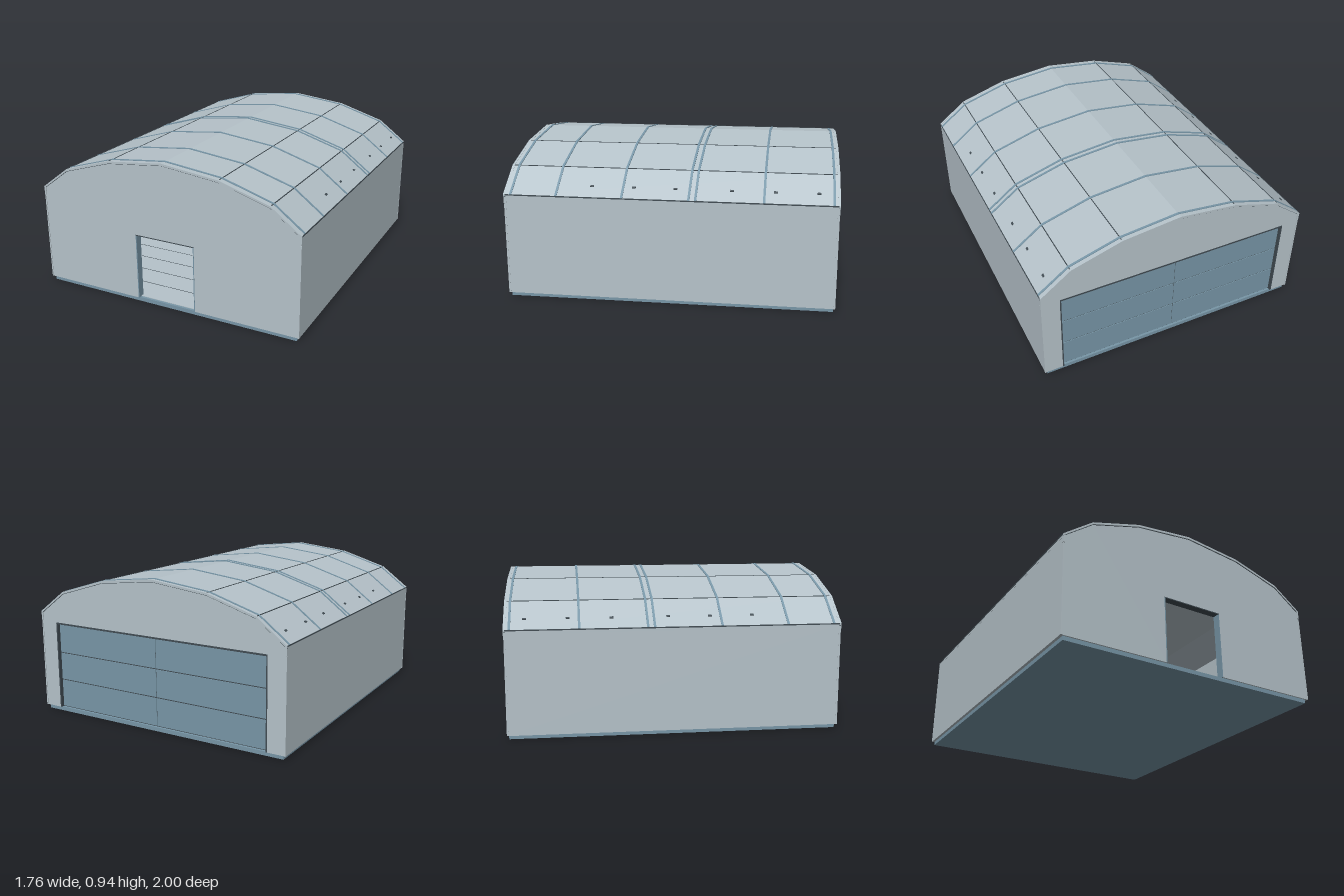
import * as THREE from 'three';

const mat = (name, color) => {
  const m = new THREE.MeshStandardMaterial({ color });
  m.name = name;
  return m;
};

export function createModel() {
  const wall = mat('pale grey cladding', 0xb6c3ca);
  const blue = mat('steel blue', 0x7896a7);
  const dark = mat('dark seam', 0x414c53);

  const hangar = new THREE.Group();
  hangar.name = 'hangar';

  const add = (name, geo, material, parent = hangar) => {
    const m = new THREE.Mesh(geo, material);
    m.name = name;
    parent.add(m);
    return m;
  };
  const box = (name, material, w, h, d, x, y, z, parent) => {
    const m = add(name, new THREE.BoxGeometry(w, h, d), material, parent);
    m.position.set(x, y, z);
    return m;
  };
  const extrude = (name, points, material, z0, z1) => {
    const shape = new THREE.Shape(points.map(p => new THREE.Vector2(p[0], p[1])));
    const geo = new THREE.ExtrudeGeometry(shape, { depth: z1 - z0, bevelEnabled: false });
    geo.translate(0, 0, z0);
    return add(name, geo, material);
  };

  // Roof outline from the right eave over the ridge to the left eave
  const half = [[0.878, 0.652], [0.69, 0.793], [0.372, 0.89]];
  const profile = [...half, [0, 0.932], ...half.map(([x, y]) => [-x, y]).reverse()];
  const lifted = dy => profile.map(([x, y]) => [x, y + dy]);
  const arch = (name, material, top, bottom, z0, z1) =>
    extrude(name, [...lifted(top), ...lifted(bottom).reverse()], material, z0, z1);

  // Plinth and floor
  box('plinth', blue, 1.72, 0.025, 1.97, 0, 0.0125, 0);
  box('floor', wall, 1.71, 0.004, 1.94, 0, 0.026, 0);
  for (let z = -0.8; z < 0.9; z += 0.16) box('floorJoint', dark, 1.7, 0.001, 0.004, 0, 0.0285, z);

  // Side walls with an eave seam on top
  for (const s of [-1, 1]) {
    box('sideWall', wall, 0.02, 0.62, 1.986, s * 0.867, 0.335, 0);
    box('eaveSeam', dark, 0.006, 0.007, 1.98, s * 0.877, 0.65, 0);
  }

  // End walls, each notched for its doorway
  const endWall = (name, w, h, z0, z1) => extrude(name, [
    [-w, 0.025], [-w, h], [w, h], [w, 0.025], [0.872, 0.025], [0.872, 0.645],
    ...lifted(-0.008).slice(1, -1), [-0.872, 0.645], [-0.872, 0.025],
  ], wall, z0, z1);
  endWall('frontWall', 0.2, 0.45, 0.96, 0.994);
  endWall('rearWall', 0.76, 0.59, -0.994, -0.96);

  // Roof shell, gable trims and corner legs
  arch('roof', wall, 0, -0.02, -0.986, 0.986);
  for (const s of [-1, 1]) {
    const span = (a, b) => [Math.min(s * a, s * b), Math.max(s * a, s * b)];
    arch('gableTrim', wall, 0.001, -0.012, ...span(0.985, 1));
    arch('gableSeam', dark, -0.011, -0.015, ...span(0.985, 0.997));
    for (const t of [-1, 1]) {
      box('cornerTrim', wall, 0.012, 0.055, 0.02, t * 0.872, 0.625, s * 0.989);
      box('cornerPost', wall, 0.008, 0.57, 0.012, t * 0.874, 0.31, s * 0.991);
    }
  }

  // Roof ribs
  for (const z of [0.955, 0.675, 0.275, -0.125, -0.165, -0.565, -0.965])
    arch('roofRib', blue, 0.004, -0.004, z - 0.007, z + 0.007);

  // Lengthwise roof seams and the small vents on the lowest roof panels
  const slope = Math.atan2(0.793 - 0.652, 0.878 - 0.69);
  for (const s of [-1, 1]) {
    for (const [x, y] of half.slice(1))
      box('roofSeam', dark, 0.005, 0.004, 1.97, s * x, y, 0);
    for (const z of [-0.88, -0.63, -0.375, -0.04, 0.21, 0.465])
      box('roofVent', dark, 0.013, 0.006, 0.022, s * 0.81, 0.704, z).rotation.z = -s * slope;
  }

  // Front doorway lining
  for (const s of [-1, 1]) box('frontJamb', blue, 0.006, 0.422, 0.045, s * 0.199, 0.236, 0.972);
  box('frontLintel', dark, 0.404, 0.006, 0.045, 0, 0.447, 0.972);

  // Rear door: six panels on a dark core, with a frame
  box('rearDoorCore', dark, 1.51, 0.56, 0.008, 0, 0.306, -0.968);
  const rows = [0.028, 0.21, 0.39, 0.576];
  for (let i = 0; i < 3; i++) for (const s of [-1, 1]) {
    const h = rows[i + 1] - rows[i] - 0.007;
    box('rearDoorPanel', blue, 0.747, h, 0.016, s * 0.3755, (rows[i] + rows[i + 1]) / 2, -0.968);
  }
  for (const s of [-1, 1]) box('rearJamb', dark, 0.008, 0.562, 0.038, s * 0.757, 0.306, -0.976);
  box('rearLintel', dark, 1.52, 0.01, 0.038, 0, 0.584, -0.976);

  // Padlock and latch on the inside of the rear door
  const lock = new THREE.Group();
  lock.name = 'padlock';
  lock.position.z = -0.956;
  hangar.add(lock);
  box('lockBody', wall, 0.074, 0.062, 0.008, 0, 0.275, 0, lock);
  for (const s of [-1, 1]) {
    box('shackleSide', wall, 0.014, 0.045, 0.008, s * 0.025, 0.325, 0, lock);
    box('lockPlateEdge', dark, 0.003, 0.05, 0.006, s * 0.082, 0.235, 0, lock);
    box('lockPlateEdge', dark, 0.003, 0.05, 0.006, s * 0.082, 0.365, 0, lock);
    box('lockPlateEdge', dark, 0.06, 0.003, 0.006, s * 0.052, 0.21, 0, lock);
    box('latchArm', wall, 0.024, 0.034, 0.008, s * 0.03, 0.09, 0, lock);
  }
  box('shackleTop', wall, 0.064, 0.014, 0.008, 0, 0.342, 0, lock);
  box('keyhole', blue, 0.01, 0.03, 0.01, 0, 0.272, 0, lock);
  box('latchUpper', wall, 0.02, 0.04, 0.008, 0, 0.125, 0, lock);
  box('latchLower', wall, 0.04, 0.045, 0.008, 0, 0.051, 0, lock);

  return hangar;
}
